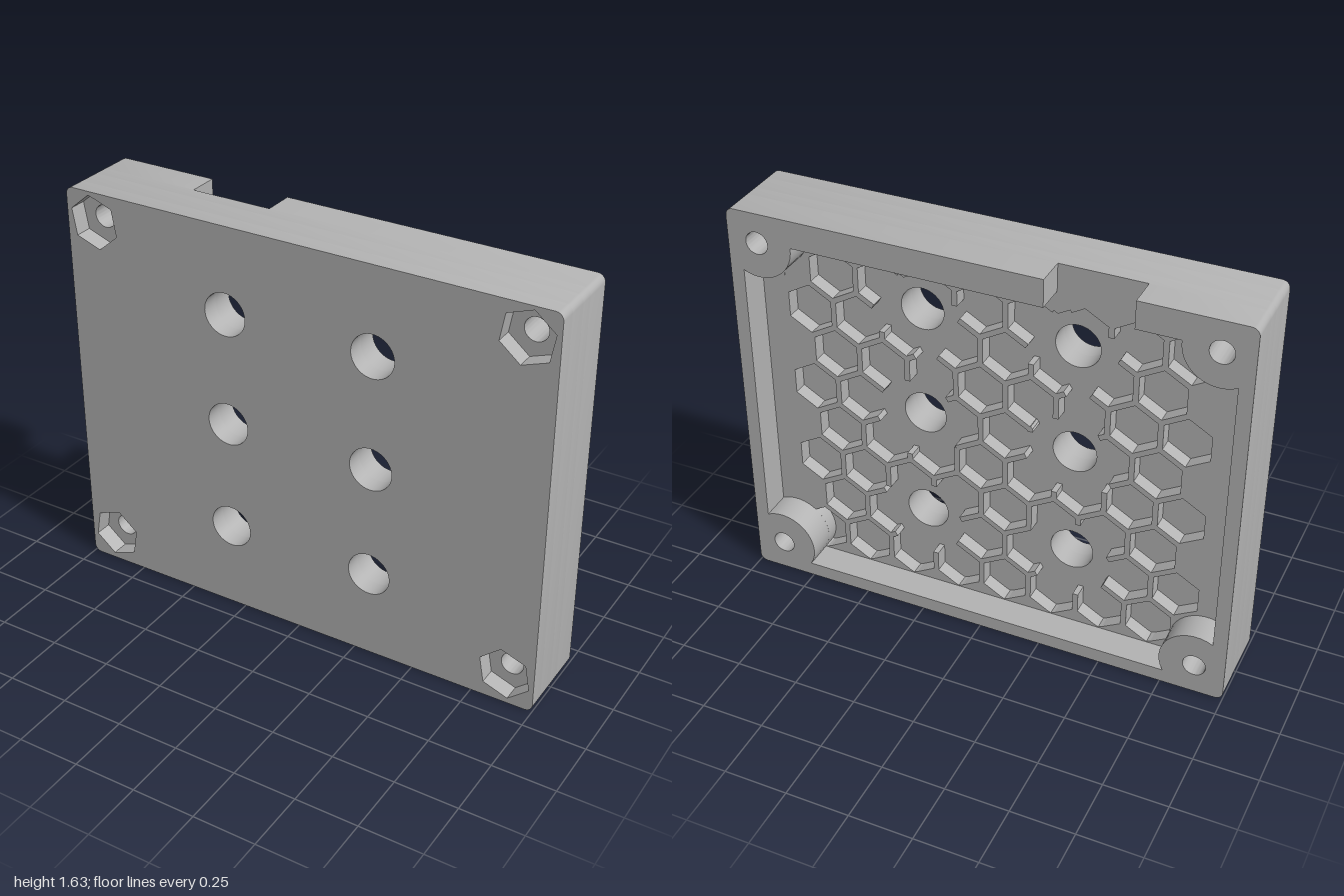
import * as THREE from 'three';
import { toCreasedNormals, mergeGeometries } from 'three/addons/utils/BufferGeometryUtils.js';

const H = 1.63, BACK = -0.167, FRONT = 0.167;
const LEDGE = -0.045, FLOOR = 0.012, POCKET = 0.097; // inner z levels
const SCREW_X = 0.88, SCREW_R = 0.045, BOSS_R = 0.14;
const NOTCH = [-0.575, -0.245];
const CORNERS = [[-1, 1], [-1, -1], [1, -1], [1, 1]]; // counter-clockwise from top left
const screwY = (t) => (t > 0 ? 1.51 : 0.127);
const screws = CORNERS.map(([s, t]) => [s * SCREW_X, screwY(t)]);
const buttons = [-0.307, 0.307].flatMap((x) => [0.36, 0.82, 1.28].map((y) => [x, y]));
const V = (x, y) => new THREE.Vector2(x, y);

const circle = ([x, y], r) => new THREE.Path().absarc(x, y, r, 0, Math.PI * 2);
const hexPoints = (x, y, r, turn) => Array.from({ length: 6 }, (_, i) => {
  const a = turn + (i * Math.PI) / 3;
  return V(x + r * Math.cos(a), y + r * Math.sin(a));
});

function slab(points, holes, z0, z1) {
  const shape = new THREE.Shape(points);
  shape.holes.push(...holes);
  const g = new THREE.ExtrudeGeometry(shape, { depth: z1 - z0, bevelEnabled: false, curveSegments: 24 });
  return toCreasedNormals(g.translate(0, 0, z0), 0.5);
}

// Rounded outer outline
function outerOutline() {
  const r = 0.03, pts = [];
  CORNERS.forEach(([s, t], k) => {
    for (let i = 0; i <= 6; i++) {
      const a = Math.PI / 2 * (k + 1 + i / 6);
      pts.push(V(s * (1 - r) + r * Math.cos(a), (t > 0 ? H - r : r) + r * Math.sin(a)));
    }
  });
  return pts;
}

// Inner outline with a round screw boss bulging into each corner
function innerOutline(xi, y0, y1) {
  const pts = [];
  CORNERS.forEach(([s, t]) => {
    const cy = screwY(t), inward = -t;
    const a = Math.acos((SCREW_X - xi) / BOSS_R);
    const b = Math.asin((inward * ((t > 0 ? y1 : y0) - cy)) / BOSS_R);
    const arc = [];
    for (let i = 0; i <= 14; i++) {
      const q = a + ((b - a) * i) / 14;
      arc.push(V(s * (SCREW_X - BOSS_R * Math.cos(q)), cy + inward * BOSS_R * Math.sin(q)));
    }
    pts.push(...(s * t > 0 ? arc : arc.reverse()));
  });
  return pts;
}

export function createModel() {
  const group = new THREE.Group();
  const grey = new THREE.MeshStandardMaterial({ color: 0xb2b2b2 });
  const add = (name, geometry) => {
    const mesh = new THREE.Mesh(geometry, grey);
    mesh.name = name;
    group.add(mesh);
  };
  const outer = outerOutline();
  const screwHoles = screws.map((p) => circle(p, SCREW_R));
  const buttonHoles = buttons.map((p) => circle(p, 0.087));

  // Front face with turned hexagonal nut pockets
  const nutPockets = screws.map(([x, y], i) => {
    const turn = CORNERS[i][0] * CORNERS[i][1] * Math.PI / 9;
    return new THREE.Path(hexPoints(x, y, 0.107, turn));
  });
  add('frontPlate', slab(outer, [...nutPockets, ...buttonHoles], POCKET, FRONT));
  add('floorPlate', slab(outer, [...screwHoles, ...buttonHoles], FLOOR, POCKET));

  // Ledge around the honeycomb
  const LX = 0.85, LY0 = 0.06, LY1 = 1.4885;
  const ledgeHole = new THREE.Path(innerOutline(LX, LY0, LY1));
  add('ledge', slab(outer, [ledgeHole, ...screwHoles], LEDGE, FLOOR));

  // Rear rim, open at the cable notch
  const top = 1.52;
  add('rearRim', slab([
    V(NOTCH[0], H), ...outer, V(NOTCH[1], H), V(NOTCH[1], top),
    ...innerOutline(0.945, 0.057, top).reverse(), V(NOTCH[0], top),
  ], screwHoles, BACK, LEDGE));

  // Honeycomb: thin ribs, cut away round the buttons, and solid border cells
  const W = 0.2, S = W / Math.sqrt(3), T = 0.022;
  const near = (x, y, list, r) => list.some(([a, b]) => Math.hypot(x - a, y - b) < r);
  const cut = (x, y) => near(x, y, buttons, 0.18) || near(x, y, screws, 0.1);
  const ribs = [], fillers = [], seen = new Set();

  function rib(p, q) {
    const m = p.clone().add(q).multiplyScalar(0.5);
    const key = `${Math.round(m.x * 200)},${Math.round(m.y * 200)}`;
    if (seen.has(key)) return;
    seen.add(key);
    const N = 24;
    let start = -1;
    for (let i = 0; i <= N; i++) {
      const c = p.clone().lerp(q, (i + 0.5) / N);
      const solid = i < N && !cut(c.x, c.y);
      if (solid && start < 0) start = i;
      if (!solid && start >= 0) {
        const a = p.clone().lerp(q, start / N), b = p.clone().lerp(q, i / N);
        const g = new THREE.BoxGeometry(a.distanceTo(b) + T * 0.5, T, FLOOR - LEDGE);
        g.rotateZ(Math.atan2(b.y - a.y, b.x - a.x));
        ribs.push(g.translate((a.x + b.x) / 2, (a.y + b.y) / 2, (FLOOR + LEDGE) / 2));
        start = -1;
      }
    }
  }

  for (let row = -1; row <= 8; row++) {
    const y = 1.373 - row * 1.5 * S;
    const first = row % 2 === 0 ? 0.65 : 0.75;
    for (let col = -1; col <= 8; col++) {
      const x = first - col * W;
      const pts = hexPoints(x, y, S, Math.PI / 6);
      if (row >= 0 && row < 8 && col >= 0 && col < 8) {
        pts.forEach((p, i) => rib(p, pts[(i + 1) % 6]));
        continue;
      }
      // Border cell, held inside the ledge and clear of the screw holes
      pts.forEach((p) => {
        p.set(THREE.MathUtils.clamp(p.x, -LX, LX), THREE.MathUtils.clamp(p.y, LY0, LY1));
        screws.forEach(([a, b]) => {
          const d = Math.hypot(p.x - a, p.y - b);
          if (d < 0.1) p.set(a + (p.x - a) * 0.1 / d, b + (p.y - b) * 0.1 / d);
        });
      });
      const clean = pts.filter((p, i) => p.distanceTo(pts[(i + 5) % 6]) > 1e-4);
      if (clean.length > 2 && Math.abs(THREE.ShapeUtils.area(clean)) > 1e-4) {
        fillers.push(slab(clean, [], LEDGE, FLOOR));
      }
    }
  }
  add('honeycombRibs', mergeGeometries(ribs));
  add('honeycombBorder', mergeGeometries(fillers));
  return group;
}
